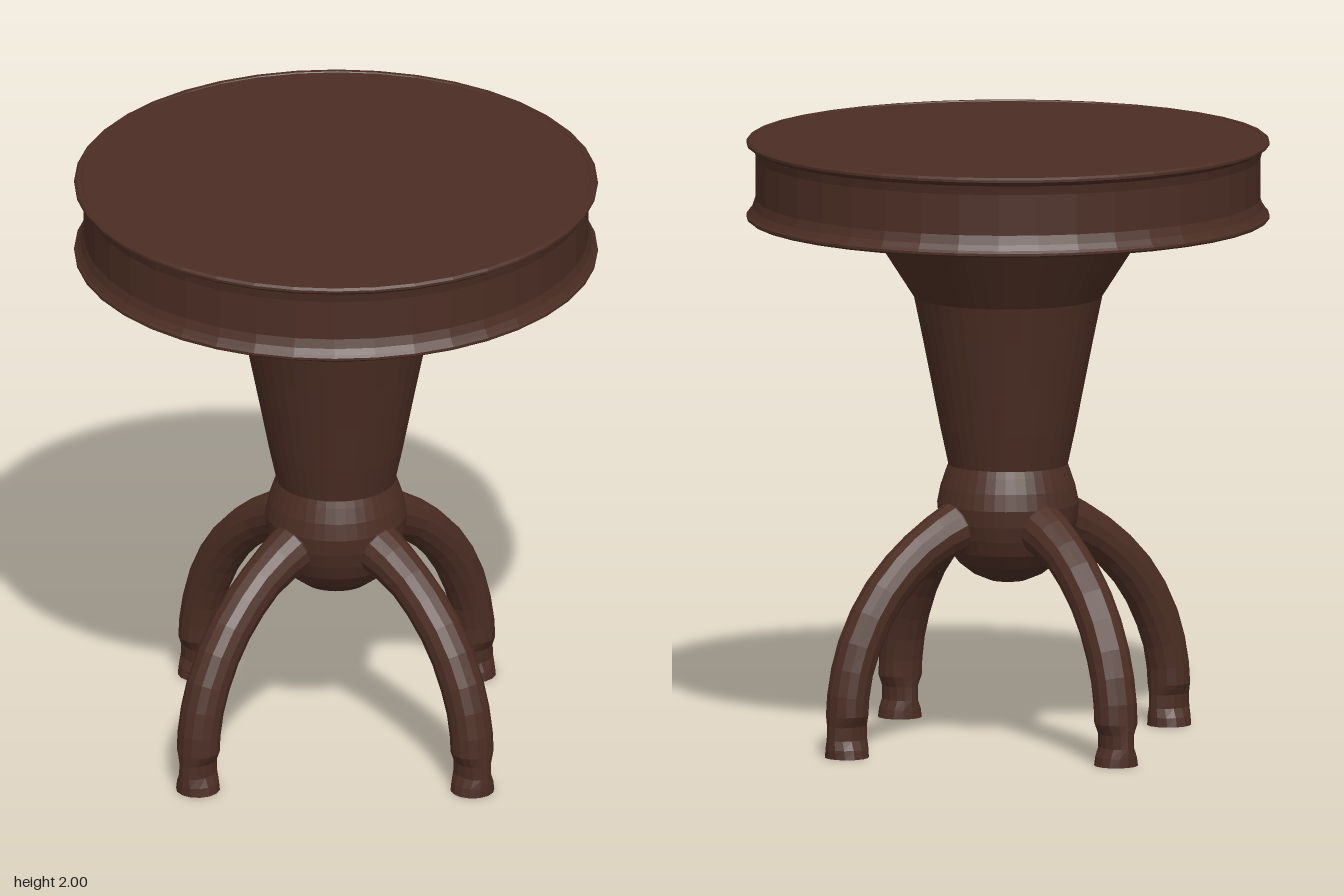
import * as THREE from 'three';

const SIDES = 40;

// Turned part from [radius, height] pairs, listed from bottom to top
function turned(name, profile, material) {
  const points = profile.map(([r, y]) => new THREE.Vector2(r, y));
  const mesh = new THREE.Mesh(new THREE.LatheGeometry(points, SIDES), material);
  mesh.name = name;
  return mesh;
}

// Elliptical sweep in the XY plane; each section is [x, y, half depth, half width]
function sweptLeg(sections, sides = 14) {
  const curve = new THREE.CatmullRomCurve3(sections.map(([x, y]) => new THREE.Vector3(x, y, 0)));
  const positions = [], index = [];
  const last = sections.length - 1;
  sections.forEach(([x, y, depth, width], i) => {
    const t = curve.getTangent(i / last);
    if (i >= last - 4) t.set(0, -1, 0);
    for (let j = 0; j < sides; j++) {
      const a = (j / sides) * Math.PI * 2;
      const d = Math.cos(a) * depth;
      positions.push(x - t.y * d, y + t.x * d, Math.sin(a) * width);
      if (i < last) {
        const k = (j + 1) % sides, p = i * sides, q = p + sides;
        index.push(p + j, p + k, q + k, p + j, q + k, q + j);
      }
    }
  });
  // Sole of the foot
  const centre = positions.length / 3, ring = last * sides;
  positions.push(sections[last][0], sections[last][1], 0);
  for (let j = 0; j < sides; j++) index.push(centre, ring + j, ring + (j + 1) % sides);
  const geometry = new THREE.BufferGeometry();
  geometry.setAttribute('position', new THREE.Float32BufferAttribute(positions, 3));
  geometry.setIndex(index);
  geometry.computeVertexNormals();
  return geometry;
}

export function createModel() {
  const group = new THREE.Group();
  group.name = 'pedestalTable';
  const wood = new THREE.MeshStandardMaterial({ color: 0x4c2e24, flatShading: true });
  wood.name = 'dark wood';

  // Round top with a lip along both edges of its apron
  group.add(turned('tableTop', [
    [0, 1.735], [0.852, 1.735], [0.86, 1.741], [0.86, 1.749], [0.852, 1.757],
    [0.84, 1.775], [0.83, 1.805], [0.83, 1.94], [0.837, 1.97], [0.852, 1.98],
    [0.86, 1.985], [0.86, 1.993], [0.852, 2], [0.838, 2], [0.836, 1.997], [0, 1.997],
  ], wood));

  // Tapered column flaring under the top
  group.add(turned('column', [
    [0, 0.915], [0.195, 0.915], [0.222, 1.04], [0.255, 1.21], [0.285, 1.36],
    [0.31, 1.48], [0.475, 1.737],
  ], wood));

  // Rounded hub that carries the legs
  group.add(turned('hub', [
    [0, 0.53], [0.06, 0.537], [0.115, 0.56], [0.16, 0.595], [0.195, 0.64], [0.215, 0.69],
    [0.228, 0.74], [0.233, 0.795], [0.222, 0.85], [0.205, 0.9], [0.192, 0.935], [0, 0.935],
  ], wood));

  // Four arched legs with feet pinched on the sides
  const legGeometry = sweptLeg([
    [0.12, 0.745, 0.085, 0.085], [0.21, 0.725, 0.085, 0.085], [0.27, 0.7, 0.078, 0.078],
    [0.35, 0.655, 0.073, 0.072], [0.42, 0.6, 0.072, 0.072], [0.49, 0.528, 0.072, 0.072],
    [0.545, 0.45, 0.072, 0.072], [0.59, 0.36, 0.072, 0.072], [0.617, 0.28, 0.07, 0.072],
    [0.632, 0.2, 0.07, 0.072], [0.636, 0.14, 0.07, 0.072], [0.637, 0.105, 0.07, 0.054],
    [0.637, 0.06, 0.072, 0.052], [0.637, 0.03, 0.073, 0.066], [0.637, 0, 0.073, 0.072],
  ]);
  ['leftLeg', 'backLeg', 'rightLeg', 'frontLeg'].forEach((name, i) => {
    const leg = new THREE.Mesh(legGeometry, wood);
    leg.name = name;
    leg.rotation.y = (i * Math.PI) / 2;
    group.add(leg);
  });

  return group;
}
